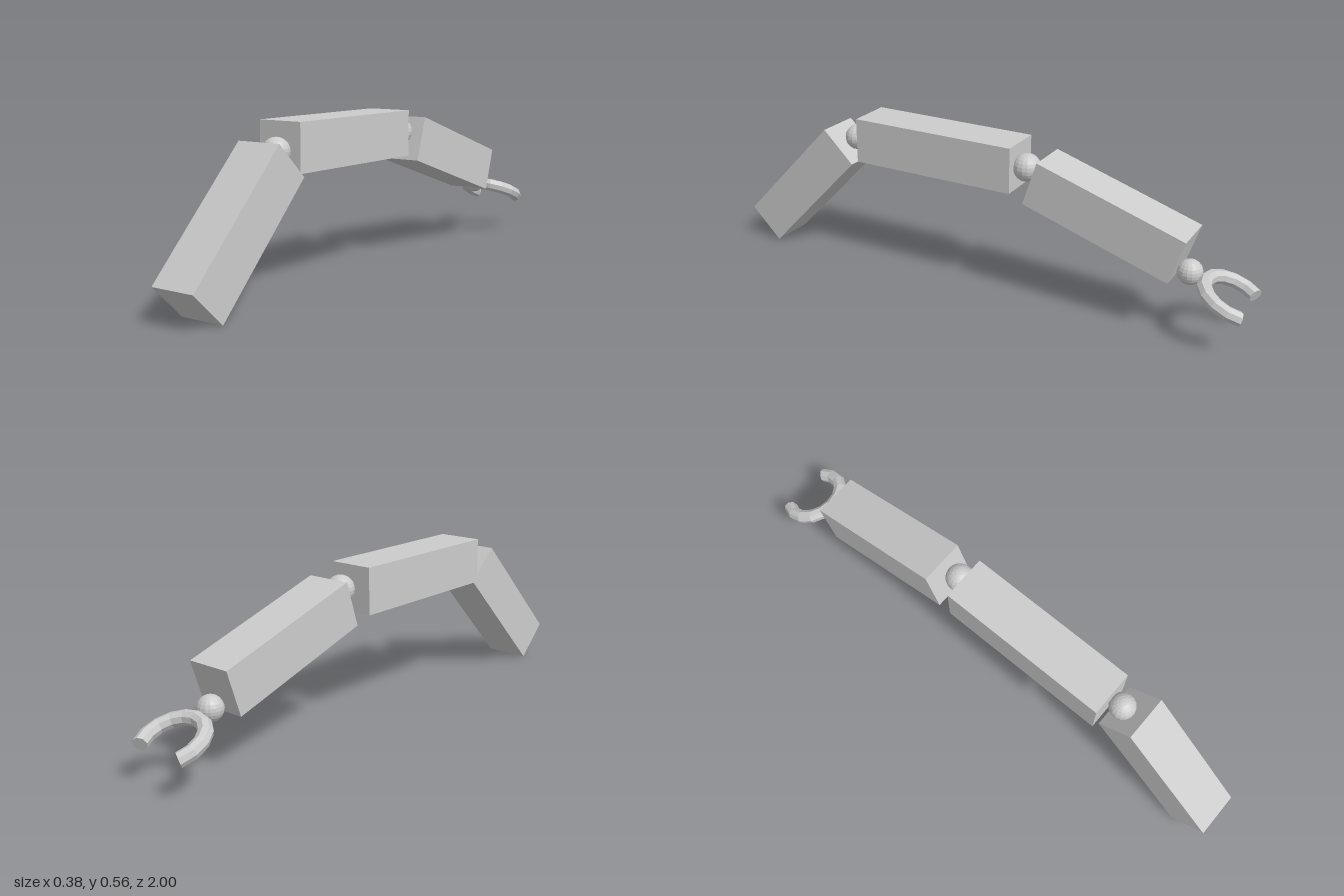
import * as THREE from 'three';

const rad = THREE.MathUtils.degToRad;

export function createModel() {
  const model = new THREE.Group();
  const material = new THREE.MeshStandardMaterial({ color: 0xcccccc, flatShading: true });

  function add(parent, name, geometry, position = [0, 0, 0], pitch = 0, yaw = 0) {
    const mesh = new THREE.Mesh(geometry, material);
    mesh.name = name;
    mesh.position.set(...position);
    mesh.rotation.set(rad(pitch), rad(yaw), 0, 'YXZ');
    parent.add(mesh);
    return mesh;
  }

  // Arm segments: square beams, name / length / centre / pitch / yaw
  const thickness = 0.165;
  [
    ['baseSegment', 0.543, [-0.087, 0.253, 0.744], 45.6, -6],
    ['middleSegment', 0.63, [-0.053, 0.476, 0.17], -0.4, -5.5],
    ['foreSegment', 0.56, [0.016, 0.359, -0.487], -18, -5.6],
  ].forEach(([name, length, centre, pitch, yaw]) =>
    add(model, name, new THREE.BoxGeometry(thickness, thickness, length), centre, pitch, yaw));

  // Ball joints between segments and at the wrist
  [
    ['lowerJoint', 0.047, [-0.07, 0.467, 0.526]],
    ['elbowJoint', 0.05, [-0.003, 0.474, -0.177]],
    ['wristJoint', 0.044, [0.046, 0.215, -0.774]],
  ].forEach(([name, radius, centre]) =>
    add(model, name, new THREE.SphereGeometry(radius, 16, 12), centre));

  // Gripper: open ring drooping forward, with capped tips
  const gripper = new THREE.Group();
  gripper.name = 'gripper';
  gripper.position.set(0.06, 0.156, -0.925);
  gripper.rotation.set(rad(-23), rad(-6), 0, 'YXZ');
  const ring = 0.105, tube = 0.025, gap = 30;
  add(gripper, 'claw', new THREE.TorusGeometry(ring, tube, 8, 10, rad(180 + 2 * gap))
    .rotateZ(rad(180 - gap)).rotateX(-Math.PI / 2));
  for (const side of [1, -1]) {
    add(gripper, 'clawTip', new THREE.CircleGeometry(tube, 8)
      .rotateX(-Math.PI / 2).translate(side * ring, 0, 0)
      .rotateZ(side * rad(gap)).rotateX(-Math.PI / 2));
  }
  model.add(gripper);

  return model;
}
